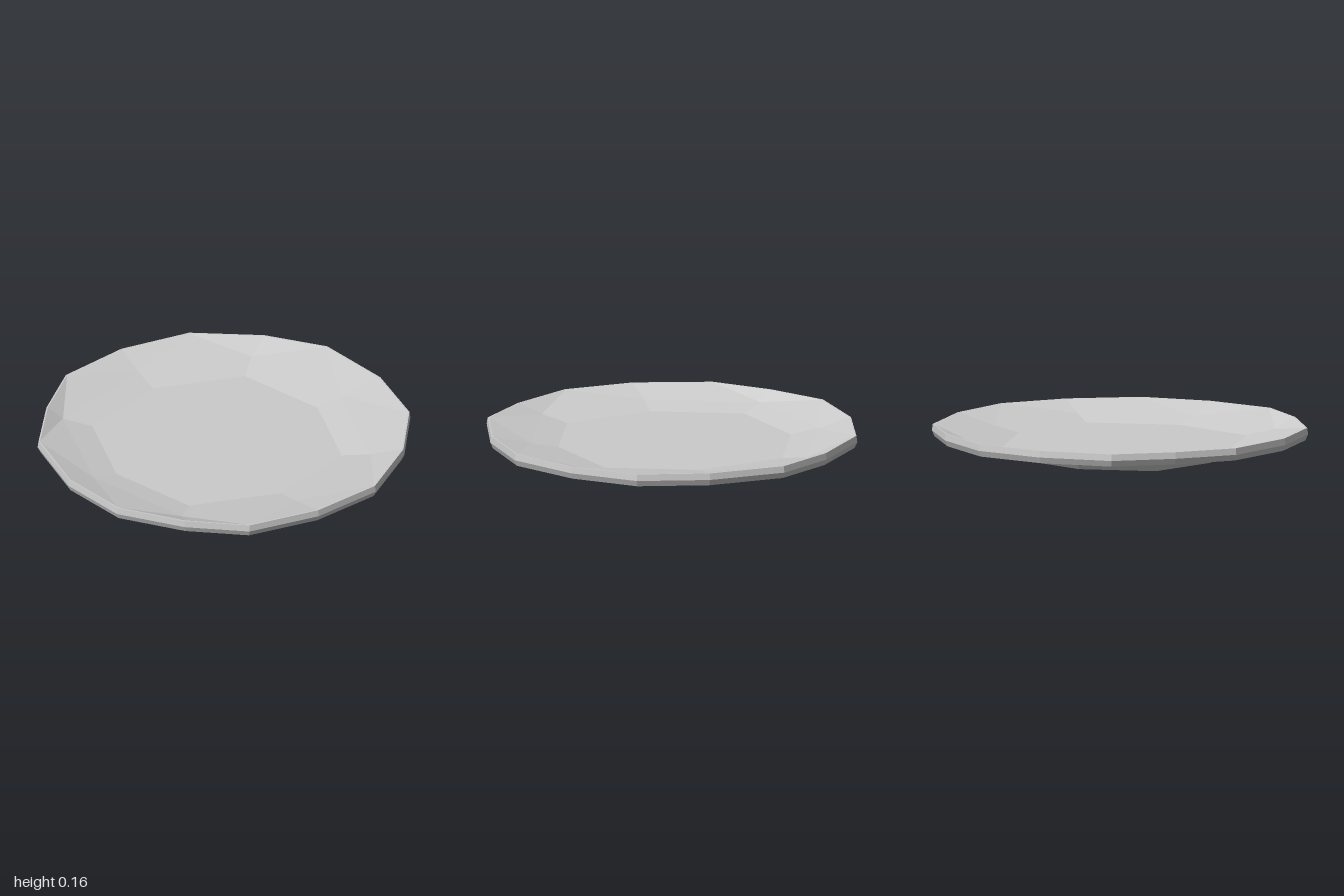
import * as THREE from 'three';

// Irregular 16-sided rim outline [x, z], counter-clockwise from above, starting at the back
const OUTLINE = [
  [-0.03, -1], [-0.43, -0.93], [-0.7, -0.7], [-0.925, -0.425],
  [-1, 0], [-0.935, 0.39], [-0.7, 0.7], [-0.43, 0.925],
  [-0.03, 0.99], [0.365, 0.94], [0.7, 0.7], [0.935, 0.39],
  [0.995, 0], [0.925, -0.425], [0.7, -0.705], [0.37, -0.945],
];

const rimRing = (scale, y) => OUTLINE.map(([x, z]) => [x * scale, y, z * scale]);

// Slightly off-centre octagon whose diagonal corners reach a little further out
function octagon(r, y) {
  return Array.from({ length: 8 }, (_, k) => {
    const a = (k * Math.PI) / 4;
    const d = k % 2 ? r * 1.075 : r;
    return [-0.035 - Math.sin(a) * d, y, -0.025 - Math.cos(a) * d];
  });
}

// Triangles joining ring a to the next ring b along the profile (8 or 16 corners each)
function band(a, b) {
  const tris = [];
  const at = (ring, i) => ring[i % ring.length];
  const n = Math.min(a.length, b.length);
  for (let k = 0; k < n; k++) {
    const a0 = at(a, k), a1 = at(a, k + 1), b0 = at(b, k), b1 = at(b, k + 1);
    if (a.length === b.length) {
      tris.push(a0, a1, b1, a0, b1, b0);
    } else if (a.length < b.length) {
      const p = at(b, 2 * k), q = at(b, 2 * k + 1), r = at(b, 2 * k + 2);
      tris.push(a0, q, p, a0, a1, q, a1, r, q);
    } else {
      const p = at(a, 2 * k), q = at(a, 2 * k + 1), r = at(a, 2 * k + 2);
      tris.push(p, q, b0, q, b1, b0, q, r, b1);
    }
  }
  return tris;
}

// Flat fan closing a ring, facing up or down
function cap(ring, up) {
  const c = [-0.035, ring[0][1], -0.025];
  return ring.flatMap((p, k) => {
    const q = ring[(k + 1) % ring.length];
    return up ? [c, p, q] : [c, q, p];
  });
}

export function createModel() {
  const group = new THREE.Group();
  group.name = 'plate';
  const material = new THREE.MeshStandardMaterial({ color: 0xcccccc, flatShading: true });

  const add = (name, tris) => {
    const geometry = new THREE.BufferGeometry();
    geometry.setAttribute('position', new THREE.Float32BufferAttribute(tris.flat(), 3));
    geometry.computeVertexNormals();
    const mesh = new THREE.Mesh(geometry, material);
    mesh.name = name;
    group.add(mesh);
  };

  const base = octagon(0.525, 0);
  const footTop = octagon(0.565, 0.05);
  const rimBottom = rimRing(0.985, 0.092);
  const rimMiddle = rimRing(1, 0.125);
  const rimTop = rimRing(0.995, 0.16);
  const lip = rimRing(0.987, 0.16);
  const slope = octagon(0.79, 0.108);
  const floor = octagon(0.64, 0.08);

  add('foot', [...cap(base, false), ...band(base, footTop)]);
  add('underside', band(footTop, rimBottom));
  add('rim', [...band(rimBottom, rimMiddle), ...band(rimMiddle, rimTop), ...band(rimTop, lip)]);
  add('dish', [...band(lip, slope), ...band(slope, floor), ...cap(floor, true)]);
  return group;
}
